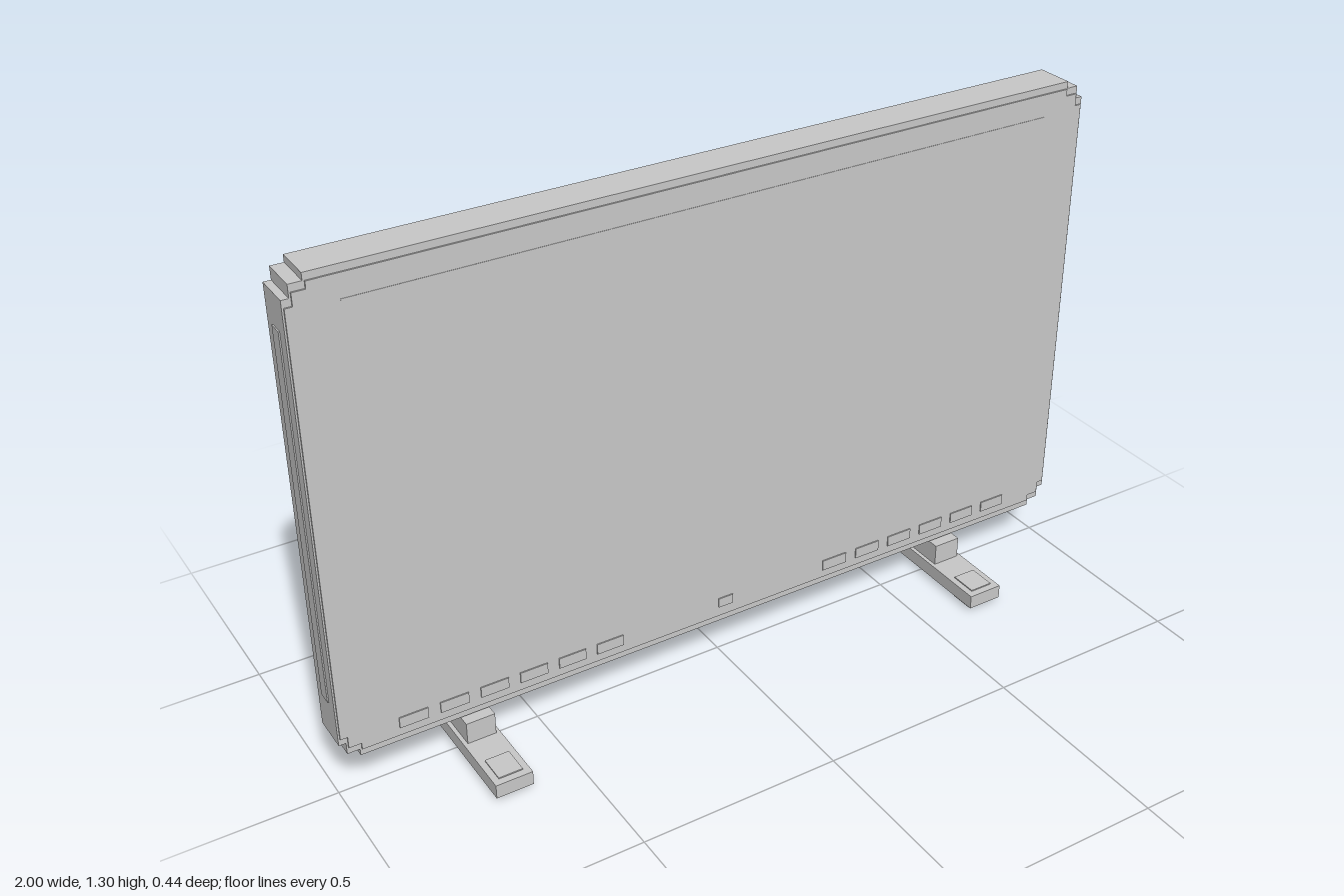
import * as THREE from 'three';

const grey = new THREE.MeshStandardMaterial({ color: 0xc8c8c8 });
grey.name = 'lightGrey';

// Box given by its limits on each axis
function block(parent, name, x0, x1, y0, y1, z0, z1) {
  const mesh = new THREE.Mesh(new THREE.BoxGeometry(x1 - x0, y1 - y0, z1 - z0), grey);
  mesh.position.set((x0 + x1) / 2, (y0 + y1) / 2, (z0 + z1) / 2);
  mesh.name = name;
  parent.add(mesh);
  return mesh;
}

function group(parent, name) {
  const g = new THREE.Group();
  g.name = name;
  parent.add(g);
  return g;
}

// Small round screw head facing backwards
function screw(parent, x, y, z) {
  const mesh = new THREE.Mesh(new THREE.CylinderGeometry(0.009, 0.009, 0.006, 12), grey);
  mesh.rotation.x = Math.PI / 2;
  mesh.position.set(x, y, z);
  mesh.name = 'screw';
  parent.add(mesh);
}

// Slab with stepped corners, w and h being half sizes
function steppedSlab(parent, name, w, h, z0, z1) {
  const corner = [[w, h - 0.047], [w - 0.017, h - 0.047], [w - 0.017, h - 0.017], [w - 0.047, h - 0.017], [w - 0.047, h]];
  const reversed = [...corner].reverse();
  const outline = [
    ...corner,
    ...reversed.map(([x, y]) => [-x, y]),
    ...corner.map(([x, y]) => [-x, -y]),
    ...reversed.map(([x, y]) => [x, -y]),
  ].map(([x, y]) => new THREE.Vector2(x, y));
  const geometry = new THREE.ExtrudeGeometry(new THREE.Shape(outline), { depth: z1 - z0, bevelEnabled: false });
  const slab = new THREE.Mesh(geometry, grey);
  slab.position.set(0, 0.7035, z0);
  slab.name = name;
  parent.add(slab);
}

// Display housing, screen and back cover
function buildHousing(parent) {
  steppedSlab(parent, 'housing', 0.997, 0.5925, -0.06, 0.034);
  steppedSlab(parent, 'screen', 0.993, 0.575, 0.034, 0.038);
  block(parent, 'backCover', -0.96, 0.96, 0.19, 1.22, -0.066, -0.06);
  for (const s of [-1, 1]) {
    const edge = block(parent, 'sideTrim', -0.0015, 0.0015, 0.26, 1.17, -0.03, 0.005);
    edge.position.x = s * 0.9985;
    for (const y of [0.21, 1.17]) screw(parent, s * 0.9, y, -0.067);
  }
  block(parent, 'powerButton', 0.84, 0.875, 0.105, 0.114, -0.02, 0.01);
}

// Thin slots and trim on the front
function buildFrontDetails(parent) {
  block(parent, 'topTrim', -0.88, 0.88, 1.22, 1.223, 0.038, 0.039);
  for (const s of [-1, 1]) {
    for (let i = 0; i < 6; i++) {
      const x = s * (0.32 + i * 0.1);
      block(parent, 'speakerSlot', x - 0.035, x + 0.035, 0.15, 0.178, 0.038, 0.041);
    }
  }
  block(parent, 'indicator', -0.02, 0.02, 0.155, 0.18, 0.038, 0.041);
}

// Two rows of ventilation slots
function buildVents(parent) {
  for (const y of [1.06, 1.11]) {
    for (let i = 0; i < 16; i++) {
      const x = -0.8 + i * 0.1067;
      block(parent, 'ventSlot', x - 0.024, x + 0.024, y - 0.004, y + 0.004, -0.069, -0.066);
    }
  }
}

// Electronics box on the back with its ports
function buildElectronics(parent) {
  block(parent, 'mountPlate', -0.645, 0.645, 0.2, 0.765, -0.076, -0.066);
  block(parent, 'topLip', -0.595, 0.595, 0.73, 0.765, -0.095, -0.076);
  block(parent, 'electronicsBox', -0.62, 0.62, 0.222, 0.735, -0.12, -0.076);
  block(parent, 'accessPanel', -0.59, 0.59, 0.26, 0.71, -0.127, -0.12);
  block(parent, 'portPlate', 0.34, 0.56, 0.28, 0.61, -0.13, -0.127);
  for (const y of [0.55, 0.46, 0.37]) {
    block(parent, 'port', 0.4, 0.5, y - 0.016, y + 0.016, -0.135, -0.13);
  }
  block(parent, 'powerSocket', -0.5, -0.4, 0.295, 0.345, -0.134, -0.127);
  block(parent, 'grillePlate', -0.26, 0.06, 0.4, 0.52, -0.13, -0.127);
  for (let row = 0; row < 4; row++) {
    for (let i = 0; i < 9; i++) {
      const x = -0.21 + i * 0.0275;
      const y = 0.423 + row * 0.024;
      block(parent, 'grilleDot', x - 0.006, x + 0.006, y - 0.003, y + 0.003, -0.132, -0.13);
    }
  }
  for (const x of [-0.23, 0.23]) {
    for (const y of [0.34, 0.675]) screw(parent, x, y, -0.129);
  }
}

// One foot with its post, back bracket and pads
function buildFoot(parent, x) {
  const foot = group(parent, x > 0 ? 'leftFoot' : 'rightFoot');
  foot.position.x = x;
  block(foot, 'footBar', -0.046, 0.046, 0.012, 0.048, -0.218, 0.218);
  block(foot, 'footCap', -0.03, 0.03, 0.048, 0.051, 0.13, 0.2);
  block(foot, 'post', -0.036, 0.036, 0.048, 0.104, -0.068, 0.055);
  block(foot, 'neck', -0.03, 0.03, 0.104, 0.112, -0.05, 0.01);
  block(foot, 'backBracket', -0.03, 0.03, 0.104, 0.175, -0.069, -0.06);
  for (const z of [-0.17, 0.17]) {
    block(foot, 'footPad', -0.036, 0.036, 0, 0.012, z - 0.03, z + 0.03);
  }
}

export function createModel() {
  const model = new THREE.Group();
  model.name = 'displayOnFeet';
  const display = group(model, 'display');
  buildHousing(display);
  buildFrontDetails(display);
  buildVents(group(model, 'vents'));
  buildElectronics(group(model, 'electronics'));
  for (const s of [-1, 1]) buildFoot(model, s * 0.668);
  return model;
}
